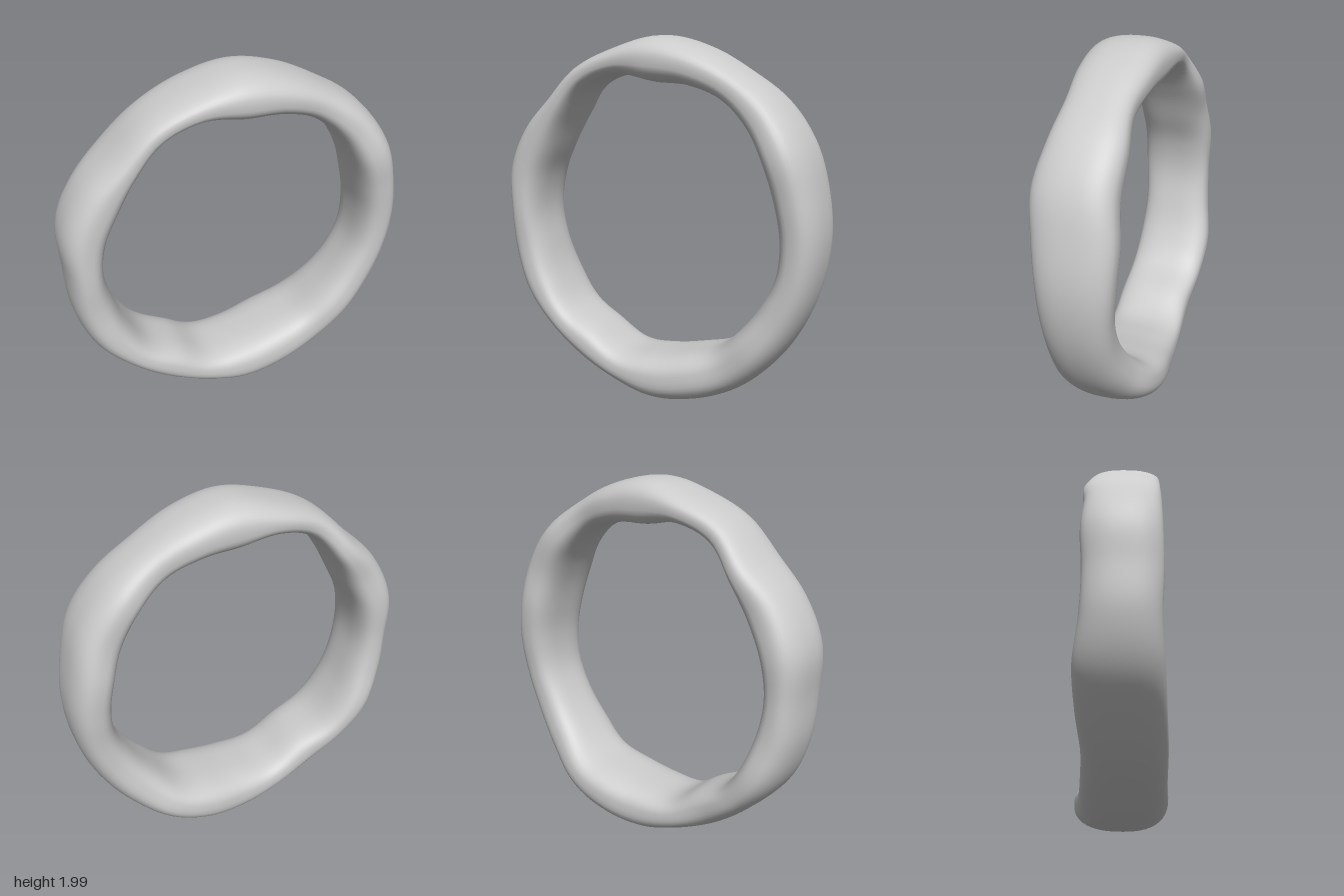
import * as THREE from 'three';

// Stations every 15 degrees, counter-clockwise from +x, around the ring's centre
const outer = [0.935, 0.94, 0.966, 0.97, 0.96, 0.978, 0.998, 0.97, 0.962, 0.937, 0.968, 0.978,
  0.943, 0.957, 0.966, 0.944, 0.943, 0.953, 0.99, 0.99, 0.983, 0.962, 0.944, 0.935];
const inner = [0.717, 0.712, 0.73, 0.76, 0.78, 0.77, 0.757, 0.815, 0.825, 0.775, 0.74, 0.747,
  0.751, 0.743, 0.753, 0.763, 0.73, 0.758, 0.728, 0.718, 0.736, 0.72, 0.717, 0.725];
const front = [0.21, 0.23, 0.25, 0.22, 0.2, 0.22, 0.23, 0.21, 0.2, 0.2, 0.2, 0.2,
  0.2, 0.19, 0.2, 0.21, 0.22, 0.22, 0.23, 0.22, 0.2, 0.21, 0.2, 0.2];
const back = [0.19, 0.2, 0.18, 0.18, 0.15, 0.17, 0.18, 0.18, 0.16, 0.2, 0.19, 0.2,
  0.19, 0.2, 0.23, 0.22, 0.2, 0.21, 0.23, 0.26, 0.25, 0.2, 0.17, 0.17];

// Smooth periodic interpolation through a list of values, u in 0..1
function sample(list, u) {
  const n = list.length;
  const k = Math.floor(u * n);
  const f = u * n - k;
  const [a, b, c, d] = [-1, 0, 1, 2].map((o) => list[(k + o + n) % n]);
  return b + 0.5 * f * (c - a + f * (2 * a - 5 * b + 4 * c - d + f * (3 * (b - c) + d - a)));
}

// Superellipse coordinate: higher n is squarer
const rounded = (v, n) => Math.sign(v) * Math.pow(Math.abs(v), 2 / n);

function bandGeometry(around = 144, section = 40) {
  const positions = [];
  const index = [];
  for (let i = 0; i < around; i++) {
    const u = i / around;
    const a = u * Math.PI * 2;
    const ro = sample(outer, u), ri = sample(inner, u);
    const zf = sample(front, u), zb = sample(back, u);
    const mid = (ro + ri) / 2, half = (ro - ri) / 2;
    for (let j = 0; j < section; j++) {
      const t = (j / section) * Math.PI * 2;
      const c = Math.cos(t), s = Math.sin(t);
      // The inside of the band is flatter than the outside
      const n = c > 0 ? 2.4 : 2.8;
      const r = mid + half * rounded(c, n);
      const z = rounded(s, n) * (s > 0 ? zf : zb);
      positions.push(r * Math.cos(a), 1 + r * Math.sin(a), z);

      const i2 = (i + 1) % around, j2 = (j + 1) % section;
      const p = i * section + j, q = i2 * section + j;
      const p2 = i * section + j2, q2 = i2 * section + j2;
      index.push(p, q, q2, p, q2, p2);
    }
  }
  const geometry = new THREE.BufferGeometry();
  geometry.setAttribute('position', new THREE.Float32BufferAttribute(positions, 3));
  geometry.setIndex(index);
  geometry.computeVertexNormals();
  return geometry;
}

export function createModel() {
  const group = new THREE.Group();
  group.name = 'ring';
  // Uneven, hand-shaped band
  const band = new THREE.Mesh(bandGeometry(), new THREE.MeshStandardMaterial({ color: 0xcccccc }));
  band.name = 'band';
  group.add(band);
  return group;
}
